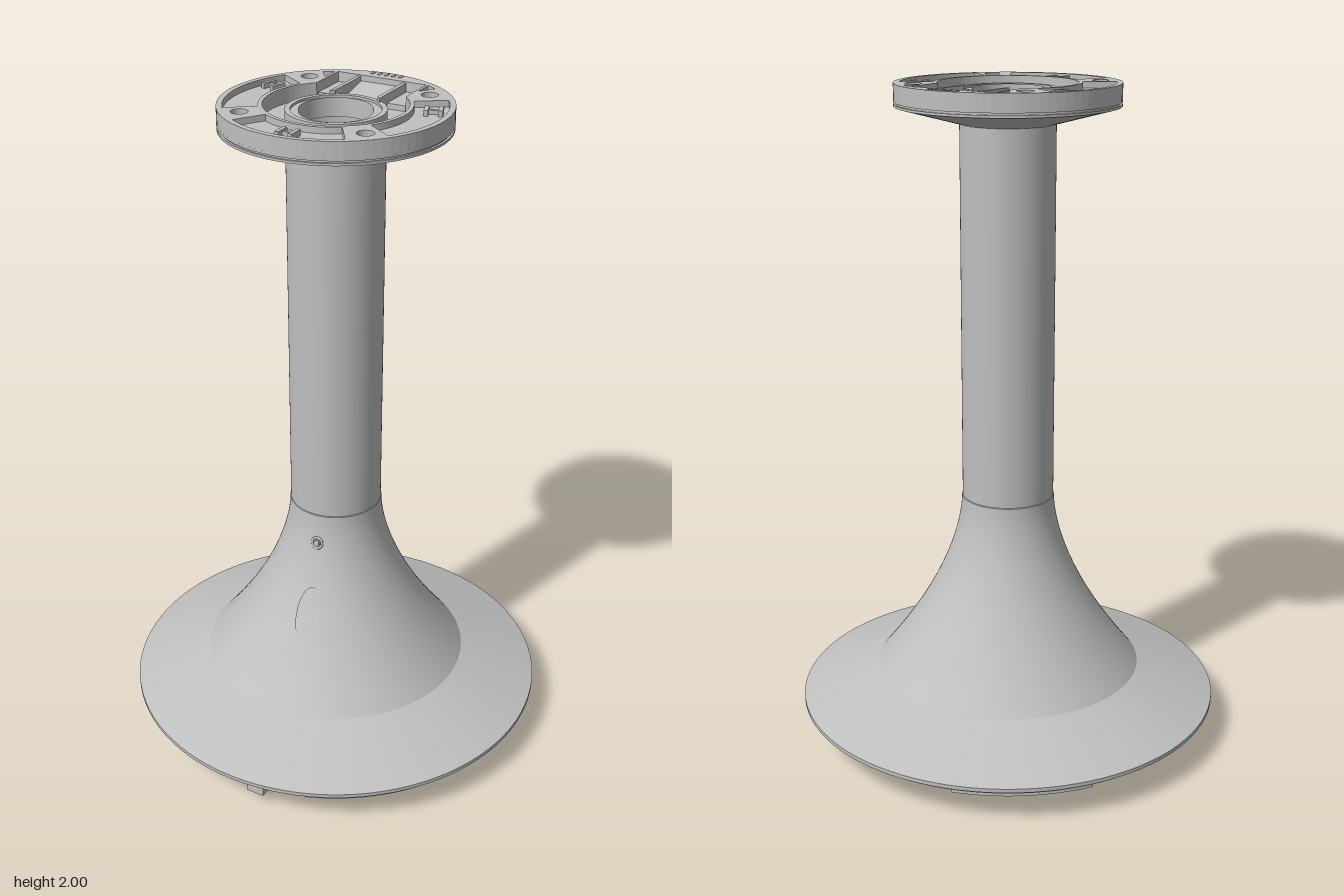
import * as THREE from 'three';
import { mergeGeometries } from 'three/addons/utils/BufferGeometryUtils.js';

export function createModel() {
  const model = new THREE.Group();
  const grey = new THREE.MeshStandardMaterial({ color: 0xc0c0c0 });
  grey.name = 'lightGrey';

  const add = (name, geo, x = 0, y = 0, z = 0, parent = model) => {
    const m = new THREE.Mesh(geo, grey);
    m.name = name;
    m.position.set(x, y, z);
    parent.add(m);
    return m;
  };
  const v = (r, y) => new THREE.Vector2(r, y);
  // Turned part with a sharp edge at every profile point
  const turned = (pts, seg = 96) => mergeGeometries(pts.slice(1).map((p, i) =>
    new THREE.LatheGeometry([v(...pts[i]), v(...p)], seg)));
  // Flat shape laid horizontally: shape y points to the back
  const slab = (shape, y0, y1) => {
    const g = new THREE.ExtrudeGeometry(shape, { depth: y1 - y0, bevelEnabled: false, curveSegments: 40 });
    return g.rotateX(-Math.PI / 2).translate(0, y0, 0);
  };
  const rad = THREE.MathUtils.degToRad;
  const sector = (a0, a1, r0, r1, Type = THREE.Path) => {
    const p = new Type();
    p.absarc(0, 0, r1, rad(a0), rad(a1), false);
    p.absarc(0, 0, r0, rad(a1), rad(a0), true);
    p.closePath();
    return p;
  };
  const polygon = (pts, Type = THREE.Path) => new Type(pts.map(p => v(...p)));
  const disc = (x, y, r) => new THREE.Path().absarc(x, y, r, 0, Math.PI * 2, false);

  // Flared bell
  const flareR = y => 0.141 + 0.269 * Math.pow(Math.max(0, (0.76 - y) / 0.555), 1.7);
  const flare = [];
  for (let i = 0; i <= 24; i++) {
    const y = 0.205 + 0.555 * i / 24;
    flare.push(v(flareR(y), y));
  }
  add('flaredBell', new THREE.LatheGeometry(flare, 96));

  // Base skirt, rim and underside
  add('baseSkirt', turned([[0.22, 0.088], [0.585, 0.088], [0.585, 0.095], [0.632, 0.095],
    [0.632, 0.106], [0.647, 0.106], [0.647, 0.118], [0.41, 0.205]]));

  // Column, outer and inner walls
  add('column', turned([[0.141, 0.76], [0.139, 0.762], [0.139, 1.885]]));
  add('innerWall', turned([[0.102, 1.985], [0.102, 1.93], [0.125, 1.93], [0.125, 0.76],
    [0.22, 0.35], [0.22, 0.088]]));

  // Top flange: cone and floor
  add('flangeCone', turned([[0.139, 1.885], [0.325, 1.935], [0.325, 1.942], [0.319, 1.942],
    [0.319, 1.948], [0.325, 1.948], [0.325, 1.955], [0.102, 1.955]]));

  // Flange plate in two layers: keyhole through both, pockets in the upper one
  const keyhole = () => {
    const p = new THREE.Path();
    const a = Math.acos(0.14 / 0.2);
    p.moveTo(0.14, 0.27);
    p.lineTo(-0.14, 0.27);
    p.absarc(0, 0, 0.2, Math.PI - a, Math.PI * 2 + a, false);
    p.closePath();
    return p;
  };
  const plate = () => {
    const s = new THREE.Shape().absarc(0, 0, 0.325, 0, Math.PI * 2, false);
    s.holes.push(keyhole());
    for (const x of [-0.19, 0.19]) for (const y of [-0.19, 0.19]) s.holes.push(disc(x, y, 0.024));
    return s;
  };
  add('flangeLower', slab(plate(), 1.955, 1.982));
  const upper = plate();
  upper.holes.push(sector(-36, 33, 0.212, 0.308), sector(147, 216, 0.212, 0.308),
    sector(237, 303, 0.212, 0.308));
  for (const s of [-1, 1]) {
    upper.holes.push(polygon([[0.148 * s, 0.205], [0.178 * s, 0.248], [0.148 * s, 0.268]]));
  }
  add('flangeUpper', slab(upper, 1.982, 2));

  // Collar around the bore
  add('collar', turned([[0.14, 1.955], [0.14, 1.985], [0.125, 1.985], [0.125, 1.978], [0.102, 1.978]]));

  // Cable channel at the back of the flange
  for (const s of [-1, 1]) {
    add('channelWall', slab(polygon(s > 0
      ? [[0.066, 0.115], [0.078, 0.105], [0.078, 0.27], [0.066, 0.27]]
      : [[-0.066, 0.27], [-0.078, 0.27], [-0.078, 0.105], [-0.066, 0.115]], THREE.Shape), 1.955, 1.996));
    add('slotFloor', new THREE.BoxGeometry(0.06, 0.016, 0.12), s * 0.109, 1.963, -0.21);
  }
  const ramp = add('channelRamp', new THREE.BoxGeometry(0.13, 0.006, 0.125), 0, 1.969, -0.215);
  ramp.rotation.x = 0.2;
  for (let i = -2; i <= 2; i++) {
    add('rearNotchRib', new THREE.BoxGeometry(0.008, 0.004, 0.022), i * 0.022, 2, -0.305);
  }

  // Small latches in the side and front pockets
  for (const [x, z, turn] of [[0.25, -0.09, 0.35], [-0.25, -0.09, -0.35], [0, 0.26, 0]]) {
    const latch = new THREE.Group();
    latch.name = 'pocketLatch';
    latch.position.set(x, 1.982, z);
    latch.rotation.y = turn;
    for (const s of [-1, 1]) {
      add('latchPost', new THREE.BoxGeometry(0.012, 0.016, 0.046), s * 0.02, 0.008, 0, latch);
    }
    add('latchBar', new THREE.BoxGeometry(0.04, 0.012, 0.01), 0, 0.006, 0, latch);
    model.add(latch);
  }

  // Screws sunk in the flange
  for (const x of [-0.19, 0.19]) for (const z of [-0.19, 0.19]) {
    add('flangeScrew', new THREE.CylinderGeometry(0.016, 0.016, 0.03, 16), x, 1.969, z);
  }

  // Oval cover that follows the front of the bell
  const cover = new THREE.CircleGeometry(1, 40);
  const pos = cover.attributes.position;
  for (let i = 0; i < pos.count; i++) {
    const x = 0.03 + pos.getX(i) * 0.037, y = 0.465 + pos.getY(i) * 0.073;
    pos.setXYZ(i, x, y, Math.sqrt(flareR(y) ** 2 - x * x) + 0.005);
  }
  cover.computeVertexNormals();
  add('ovalCover', cover);

  // Locking screw above the cover
  const lock = new THREE.Group();
  lock.name = 'lockScrew';
  lock.position.set(0.018, 0.67, flareR(0.67));
  lock.rotation.x = -0.2;
  add('lockRing', new THREE.TorusGeometry(0.017, 0.004, 8, 24), 0, 0, 0, lock);
  add('lockHead', new THREE.CylinderGeometry(0.01, 0.01, 0.012, 6).rotateX(Math.PI / 2), 0, 0, 0, lock);
  model.add(lock);

  // Underside: edge pads and screws
  for (let i = 0; i < 4; i++) {
    add('edgePad', slab(sector(i * 90 + 20, i * 90 + 58, 0.592, 0.622, THREE.Shape), 0.08, 0.096));
    const a = Math.atan2(-0.36, 0.25) + i * Math.PI / 2;
    add('baseScrew', new THREE.CylinderGeometry(0.015, 0.015, 0.008, 16),
      0.435 * Math.cos(a), 0.086, 0.435 * Math.sin(a));
  }

  // Side hook under the base
  const hook = polygon([[-0.1, 0.088], [-0.1, 0.07], [-0.035, 0.018], [0.035, 0.018], [0.1, 0.07], [0.1, 0.088]], THREE.Shape);
  add('sideHookWeb', new THREE.ExtrudeGeometry(hook, { depth: 0.022, bevelEnabled: false })
    .rotateY(Math.PI / 2), 0.54);
  add('sideHookFoot', new THREE.BoxGeometry(0.06, 0.014, 0.06), 0.568, 0.022, 0);
  add('sideHookTop', new THREE.BoxGeometry(0.08, 0.016, 0.19), 0.567, 0.08, 0);

  // Front clip with cable ring
  const ring = new THREE.Shape().absarc(0, 0, 0.045, 0, Math.PI * 2, false);
  ring.holes.push(disc(0, 0, 0.032));
  add('cableRing', new THREE.ExtrudeGeometry(ring, { depth: 0.025, bevelEnabled: false, curveSegments: 24 })
    .rotateY(Math.PI / 2), 0.028, 0.047, 0.493);
  add('clipBlock', new THREE.BoxGeometry(0.055, 0.038, 0.07), 0.05, 0.055, 0.565);
  add('clipTop', new THREE.BoxGeometry(0.075, 0.018, 0.15), 0.05, 0.081, 0.53);
  add('clipPin', new THREE.CylinderGeometry(0.012, 0.006, 0.04, 12), 0.04, 0.02, 0.493 + 0.03);

  return model;
}
